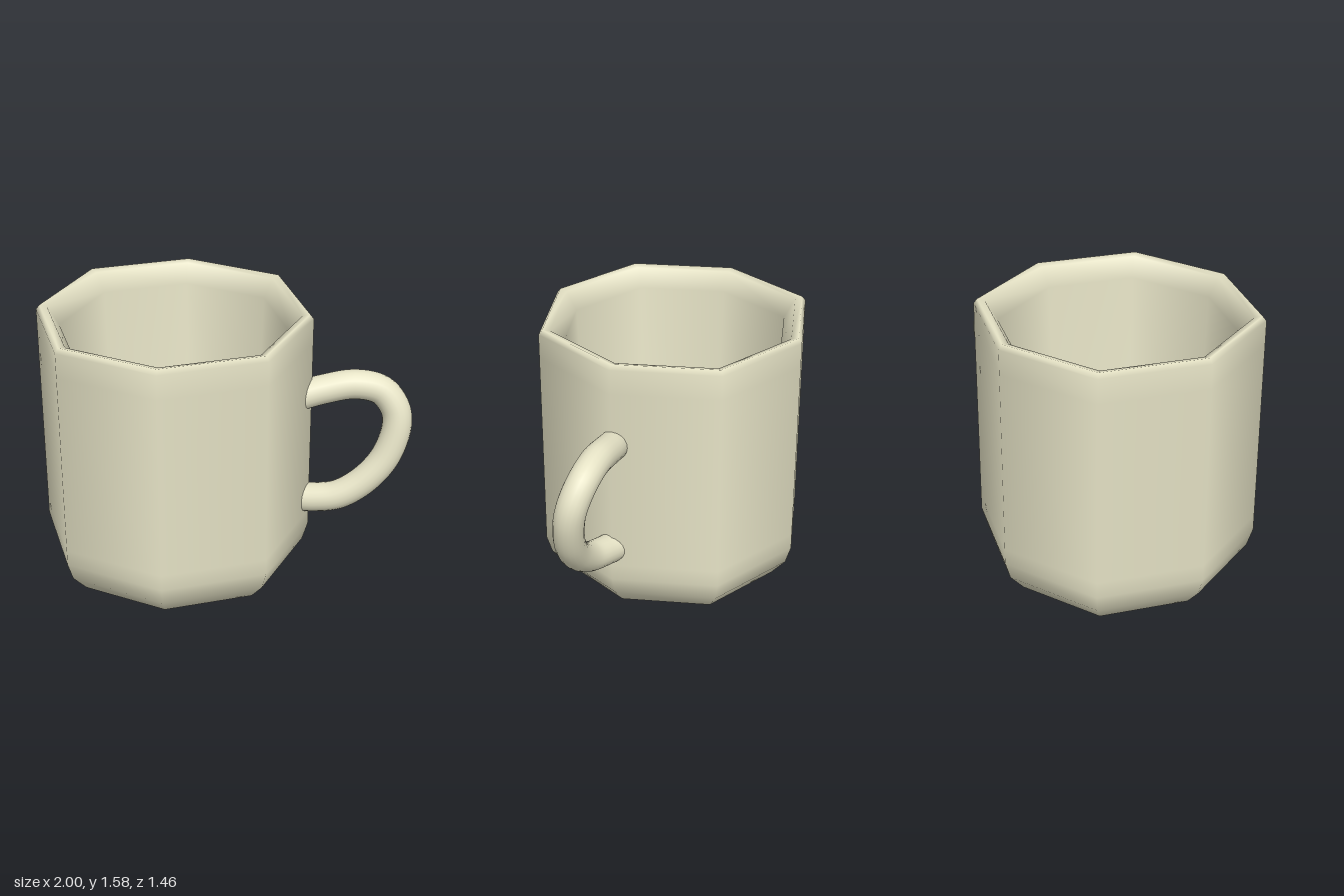
import * as THREE from 'three';

export function createModel() {
  const group = new THREE.Group();
  group.name = 'mug';
  const material = new THREE.MeshStandardMaterial({ color: 0xe6e3c6 });

  // Eight-sided cup: outside from the base up, over the rim, down the tapering bowl
  const profile = [
    [0, 0], [0.4, 0.033], [0.62, 0.115], [0.7, 0.21], [0.73, 0.31], [0.73, 0.4],
    [0.73, 1.42], [0.73, 1.555], [0.71, 1.58], [0.67, 1.57], [0.61, 1.47],
    [0.56, 0.45], [0.47, 0.27], [0.3, 0.17], [0, 0.14],
  ].map(([r, y]) => new THREE.Vector2(r, y));
  const cupGeometry = new THREE.LatheGeometry(profile, 8);

  // The four diagonal corners stand slightly further out
  const pos = cupGeometry.attributes.position;
  for (let i = 0; i < pos.count; i++) {
    const diagonal = Math.floor(i / profile.length) % 2 === 1;
    const s = diagonal ? 1.027 : 1;
    pos.setXYZ(i, pos.getX(i) * s, pos.getY(i), pos.getZ(i) * s);
  }
  const cup = new THREE.Mesh(cupGeometry, material);
  cup.name = 'cup';
  cup.position.x = -0.27;
  group.add(cup);

  // Slightly twisted round handle, its ends sunk into the cup wall
  const path = new THREE.CatmullRomCurve3([
    [0.4, 1.11, 0.005], [0.52, 1.14, -0.02], [0.69, 1.165, -0.045], [0.83, 1.13, -0.055],
    [0.905, 1.04, -0.04], [0.92, 0.94, -0.02], [0.87, 0.77, 0.01], [0.76, 0.63, 0.035],
    [0.62, 0.535, 0.045], [0.5, 0.503, 0.03], [0.4, 0.49, 0.01],
  ].map((p) => new THREE.Vector3(...p)));
  const handle = new THREE.Mesh(new THREE.TubeGeometry(path, 64, 0.08, 20), material);
  handle.name = 'handle';
  group.add(handle);

  return group;
}
